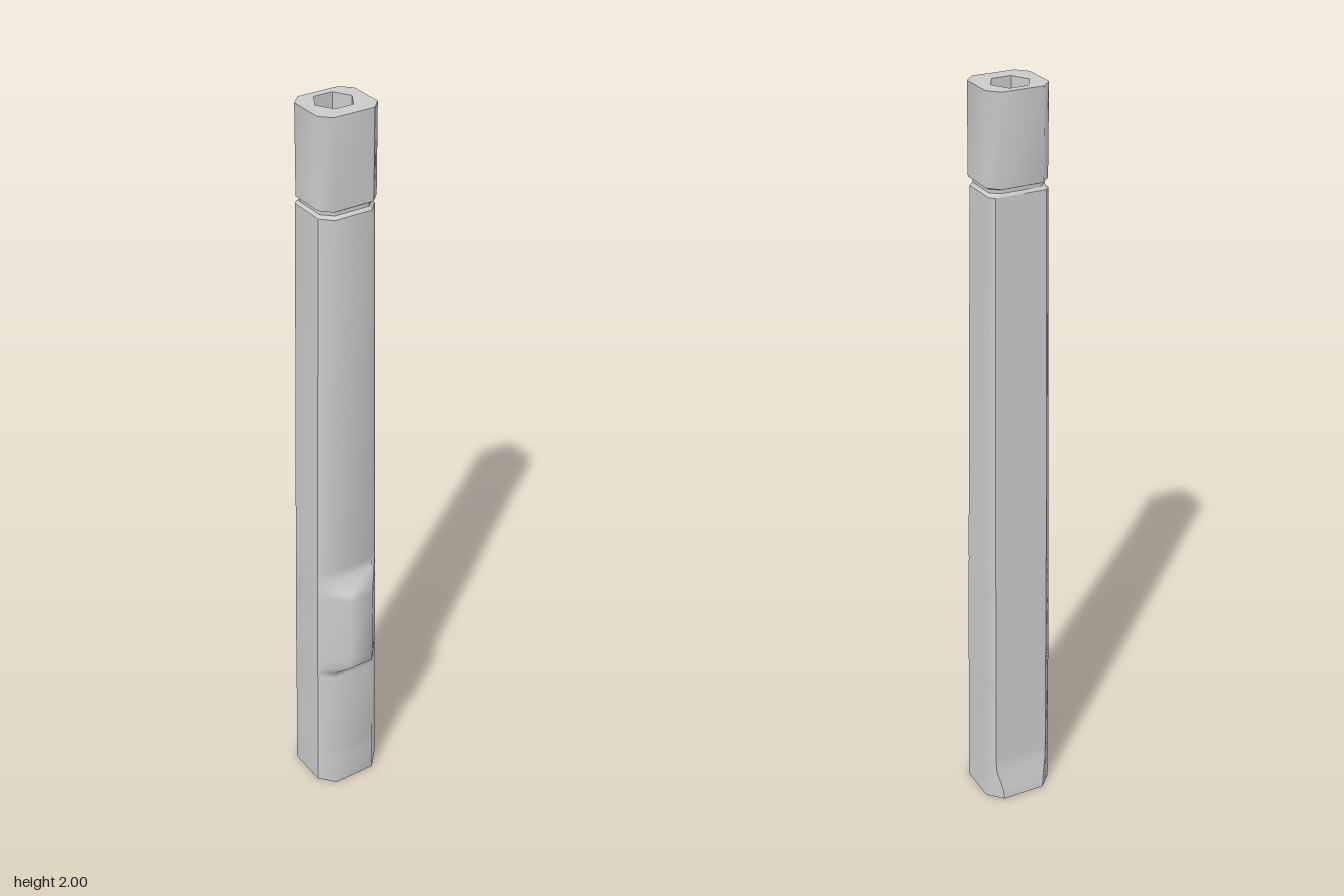
import * as THREE from 'three';

const material = new THREE.MeshStandardMaterial({ color: 0xcccccc, side: THREE.DoubleSide });

// Section: [y, sideX, frontX, frontZ, sideFrontZ, sideBackZ, backX, backZ]
// gives the eight corners of a chamfered outline, from front left round to front right.
function corners([y, sx, fx, fz, sfz, sbz, bx, bz]) {
  const half = [[fx, fz], [sx, sfz], [sx, sbz], [bx, bz]];
  const mirrored = half.map(([x, z]) => [-x, z]).reverse();
  return [...half, ...mirrored].map(([x, z]) => new THREE.Vector3(x, y, z));
}

// Smooth strip through the listed corners of all sections; its borders stay sharp.
function strip(sections, columns) {
  const positions = [], index = [], n = columns.length;
  sections.forEach((section, i) => {
    const ring = corners(section);
    columns.forEach((c, j) => {
      positions.push(...ring[c].toArray());
      if (i > 0 && j > 0) {
        const d = i * n + j, c0 = d - 1, b = d - n, a = b - 1;
        index.push(a, b, d, a, d, c0);
      }
    });
  });
  const geometry = new THREE.BufferGeometry();
  geometry.setAttribute('position', new THREE.Float32BufferAttribute(positions, 3));
  geometry.setIndex(index);
  geometry.computeVertexNormals();
  return geometry;
}

function addMesh(parent, name, geometry) {
  const mesh = new THREE.Mesh(geometry, material);
  mesh.name = name;
  parent.add(mesh);
  return mesh;
}

export function createModel() {
  const model = new THREE.Group();
  model.name = 'taperedHandle';

  // Tapering shaft: flared heel at the back, raised pad on the front
  const shaft = [
    [0.00, 0.097, 0.060, 0.080, 0.038, -0.072, 0.060, -0.110],
    [0.03, 0.097, 0.060, 0.080, 0.038, -0.072, 0.063, -0.107],
    [0.09, 0.096, 0.060, 0.079, 0.038, -0.072, 0.076, -0.093],
    [0.12, 0.096, 0.060, 0.079, 0.038, -0.072, 0.077, -0.092],
    [0.38, 0.094, 0.060, 0.075, 0.037, -0.072, 0.076, -0.090],
    [0.398, 0.094, 0.060, 0.075, 0.037, -0.072, 0.076, -0.090],
    [0.425, 0.094, 0.036, 0.108, 0.037, -0.072, 0.076, -0.090],
    [0.45, 0.094, 0.036, 0.109, 0.037, -0.072, 0.076, -0.090],
    [0.65, 0.092, 0.036, 0.109, 0.036, -0.071, 0.075, -0.089],
    [0.675, 0.092, 0.036, 0.108, 0.036, -0.071, 0.075, -0.089],
    [0.71, 0.091, 0.058, 0.071, 0.036, -0.071, 0.075, -0.088],
    [0.74, 0.091, 0.058, 0.071, 0.036, -0.071, 0.075, -0.088],
    [1.745, 0.080, 0.052, 0.062, 0.032, -0.068, 0.068, -0.080],
  ];
  const shaftGroup = new THREE.Group();
  shaftGroup.name = 'shaft';
  model.add(shaftGroup);
  addMesh(shaftGroup, 'shaftFront', strip(shaft, [6, 7, 0, 1]));
  addMesh(shaftGroup, 'leftSide', strip(shaft, [1, 2, 3]));
  addMesh(shaftGroup, 'shaftBack', strip(shaft, [3, 4]));
  addMesh(shaftGroup, 'rightSide', strip(shaft, [4, 5, 6]));

  // Narrow groove between shaft and end cap
  const capOutline = [0.083, 0.056, 0.063, 0.035, -0.060, 0.056, -0.088];
  const waist = [0.074, 0.048, 0.055, 0.029, -0.058, 0.052, -0.076];
  const groove = [
    shaft[shaft.length - 1],
    [1.753, ...waist],
    [1.762, ...waist],
    [1.767, ...capOutline],
  ];
  const around = [0, 1, 2, 3, 4, 5, 6, 7, 0];
  for (let i = 0; i < groove.length - 1; i++) {
    addMesh(model, 'groove', strip(groove.slice(i, i + 2), around));
  }

  // End cap walls
  addMesh(model, 'capWall', strip([[1.767, ...capOutline], [2, ...capOutline]], around));

  // Cap top with hexagonal socket opening
  const radius = 0.051, centreZ = -0.023;
  const outline = corners([2, ...capOutline]).map(p => new THREE.Vector2(p.x, -p.z));
  const top = new THREE.Shape(outline);
  const hex = Array.from({ length: 6 }, (_, i) => new THREE.Vector2(
    radius * Math.cos(i * Math.PI / 3), -centreZ + radius * Math.sin(i * Math.PI / 3)));
  top.holes.push(new THREE.Path(hex));
  addMesh(model, 'capTop', new THREE.ShapeGeometry(top).rotateX(-Math.PI / 2).translate(0, 2, 0));

  // Socket wall, open at both ends and facing inward
  const socket = new THREE.CylinderGeometry(radius, radius, 0.235, 6, 1, true)
    .rotateY(Math.PI / 6 * 3).toNonIndexed();
  socket.computeVertexNormals();
  addMesh(model, 'socketWall', socket.translate(0, 1.8825, centreZ));

  return model;
}
